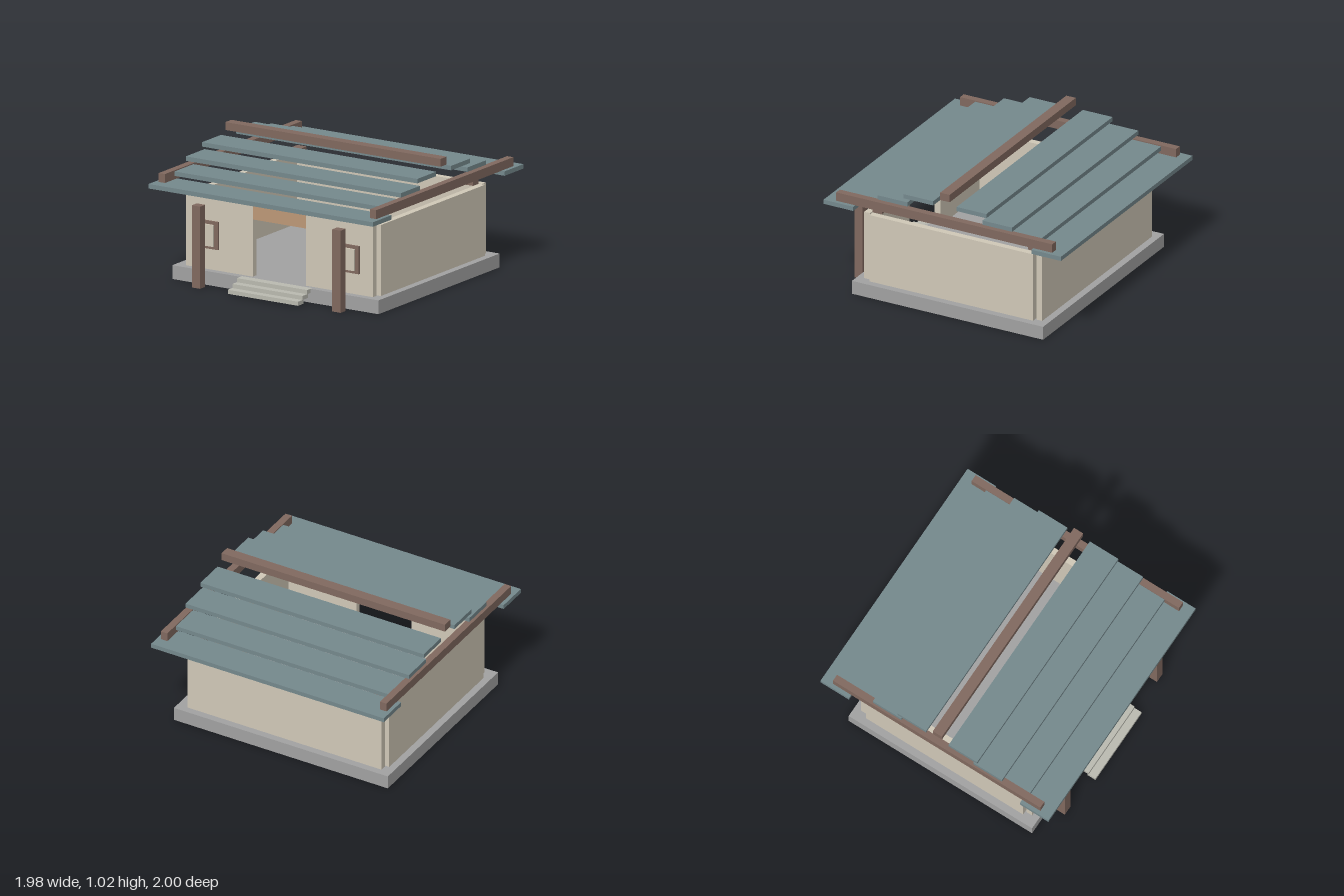
import * as THREE from 'three';

const mat = (color) => new THREE.MeshStandardMaterial({ color });

export function createModel() {
  const house = new THREE.Group();
  house.name = 'house';
  const stone = mat(0xa3a3a3), stepStone = mat(0xbcbcb2), plaster = mat(0xd2cab9);
  const timber = mat(0x826a60), roofing = mat(0x768a8e), lintelWood = mat(0xbf9a78);

  // Box given by its min and max on each axis
  const box = (name, material, [x0, x1], [y0, y1], [z0, z1]) => {
    const mesh = new THREE.Mesh(new THREE.BoxGeometry(x1 - x0, y1 - y0, z1 - z0), material);
    mesh.position.set((x0 + x1) / 2, (y0 + y1) / 2, (z0 + z1) / 2);
    mesh.name = name;
    house.add(mesh);
  };
  // Range of half-width h around c
  const around = (c, h) => [c - h, c + h];
  // Range a..b, mirrored when s is -1
  const side = (s, a, b) => (s > 0 ? [a, b] : [-b, -a]);

  // Foundation and walls
  const wallY = [0.105, 0.645];
  box('foundation', stone, [-0.91, 0.91], [0, 0.105], [-0.805, 0.805]);
  box('backWall', plaster, [-0.825, 0.825], wallY, [-0.75, -0.7]);
  box('doorLintel', lintelWood, [-0.235, 0.235], [0.54, 0.645], [0.7, 0.75]);

  // Three overlapping entrance steps
  for (let i = 0; i < 3; i++) {
    const y = 0.012 + i * 0.031, front = 0.97 - i * 0.06;
    box('step', stepStone, [-0.31, 0.31], [y, y + 0.031], [front - 0.07, front]);
  }

  for (const s of [1, -1]) {
    const label = s > 0 ? 'left' : 'right';
    box(label + 'Wall', plaster, side(s, 0.805, 0.855), wallY, [-0.69, 0.69]);
    box(label + 'FrontWall', plaster, side(s, 0.235, 0.825), wallY, [0.7, 0.75]);

    // Porch post, window and rafter
    box(label + 'Post', timber, around(s * 0.62, 0.037), [0, 0.625], [0.86, 0.927]);
    box(label + 'WindowFrame', timber, around(s * 0.622, 0.087), [0.265, 0.477], [0.75, 0.765]);
    box(label + 'WindowPane', plaster, around(s * 0.622, 0.055), [0.287, 0.452], [0.765, 0.779]);
    box(label + 'Rafter', timber, side(s, 0.905, 0.96), [0.753, 0.822], [-0.91, 0.91]);

    // Bearing blocks at the wall corners
    for (const t of [1, -1]) {
      box(label + 'BearingBlock', timber, around(s * 0.76, 0.04), [0.645, 0.705], side(t, 0.615, 0.692));
    }

    // Roof slabs stepping up to the ridge, s now picks front or back
    for (let i = 0; i < 4; i++) {
      const halfX = i === 0 ? 0.99 : 0.95, y = 0.72 + i * 0.06;
      const outer = i === 0 ? 1 : 1 - i * 0.217;
      box('roofSlab', roofing, [-halfX, halfX], [y, y + 0.034], side(s, outer - 0.25, outer));
    }
  }

  box('ridgeBeam', timber, [-0.95, 0.95], [0.958, 1.018], [-0.04, 0.04]);
  return house;
}
